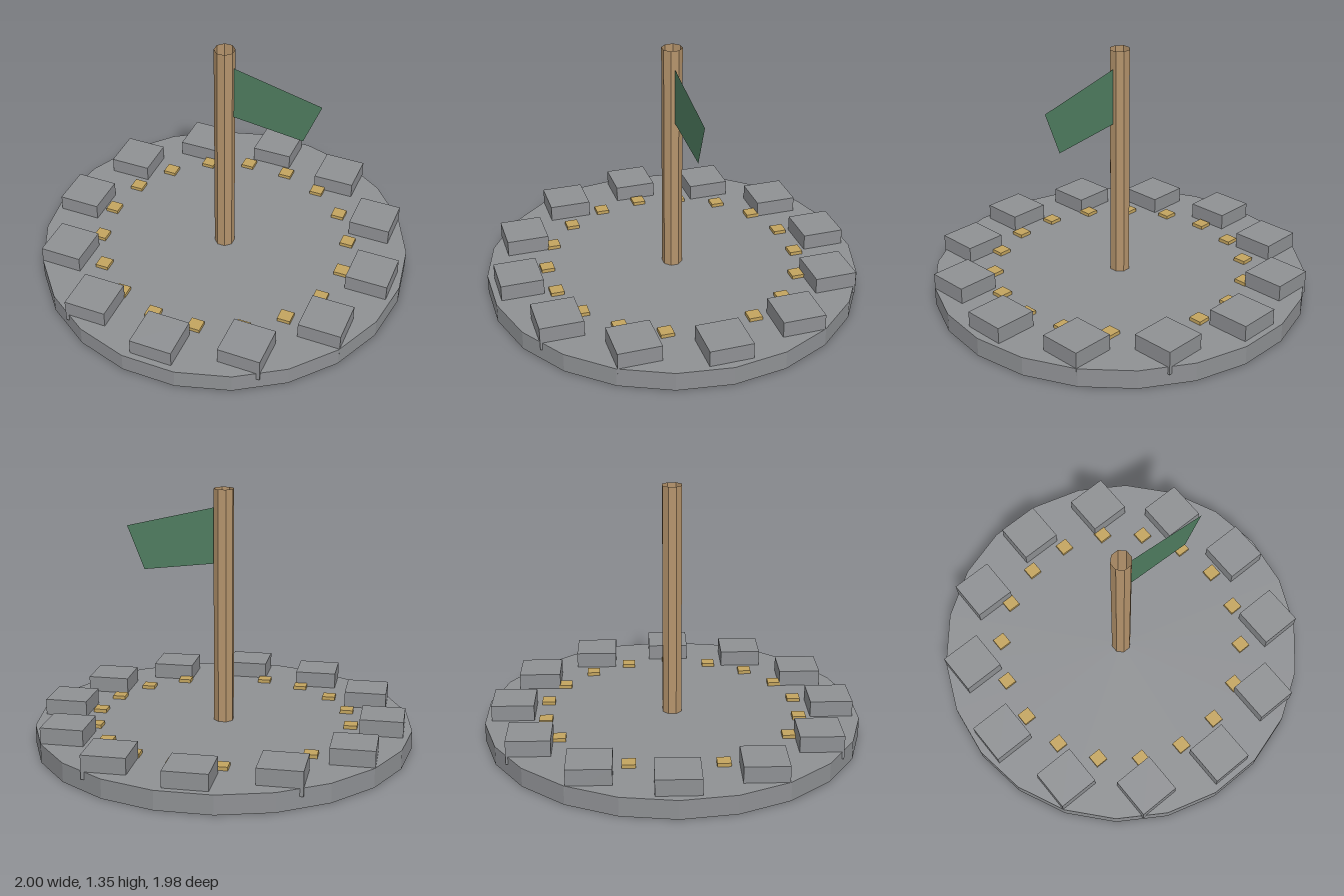
import * as THREE from 'three';

const stone = new THREE.MeshStandardMaterial({ name: 'stone grey', color: 0x8f9194 });
const wood = new THREE.MeshStandardMaterial({ name: 'pole wood', color: 0xb5946c, side: THREE.DoubleSide });
const cloth = new THREE.MeshStandardMaterial({ name: 'flag green', color: 0x4f7d60, side: THREE.DoubleSide });
const gold = new THREE.MeshStandardMaterial({ name: 'marker gold', color: 0xc4a55f });
for (const m of [stone, wood, cloth, gold]) m.flatShading = true;

// Axis-aligned boxes spaced evenly around a circle
function ringOfBoxes(name, count, radius, size, height, y, material) {
  const ring = new THREE.Group();
  ring.name = name + 'Ring';
  const geometry = new THREE.BoxGeometry(size, height, size);
  for (let i = 0; i < count; i++) {
    const a = (i / count) * Math.PI * 2;
    const box = new THREE.Mesh(geometry, material);
    box.name = name;
    box.position.set(Math.cos(a) * radius, y, Math.sin(a) * radius);
    ring.add(box);
  }
  return ring;
}

export function createModel() {
  const model = new THREE.Group();
  model.name = 'flagPlatform';

  // Faceted round base with a corner on the x axis
  const base = new THREE.Mesh(
    new THREE.CylinderGeometry(1, 1, 0.1, 22, 1, false, Math.PI / 2), stone);
  base.name = 'base';
  base.position.y = 0.05;
  model.add(base);

  // Rim blocks, sunk slightly into the base, and small inner markers
  model.add(ringOfBoxes('rimBlock', 12, 0.845, 0.225, 0.125, 0.1225, stone));
  model.add(ringOfBoxes('marker', 18, 0.68, 0.07, 0.02, 0.109, gold));

  // Hollow eight-sided pole with a flat side to the front
  const pole = new THREE.Mesh(
    new THREE.CylinderGeometry(0.054, 0.054, 1.25, 8, 1, true, Math.PI / 8), wood);
  pole.name = 'pole';
  pole.position.y = 0.72;
  model.add(pole);

  // Flat tapering flag
  const outline = [[0.05, 0.95], [0.425, 0.905], [0.515, 1.135], [0.05, 1.245]];
  const shape = new THREE.Shape(outline.map(([x, y]) => new THREE.Vector2(x, y)));
  const flag = new THREE.Mesh(new THREE.ShapeGeometry(shape), cloth);
  flag.name = 'flag';
  model.add(flag);

  return model;
}
